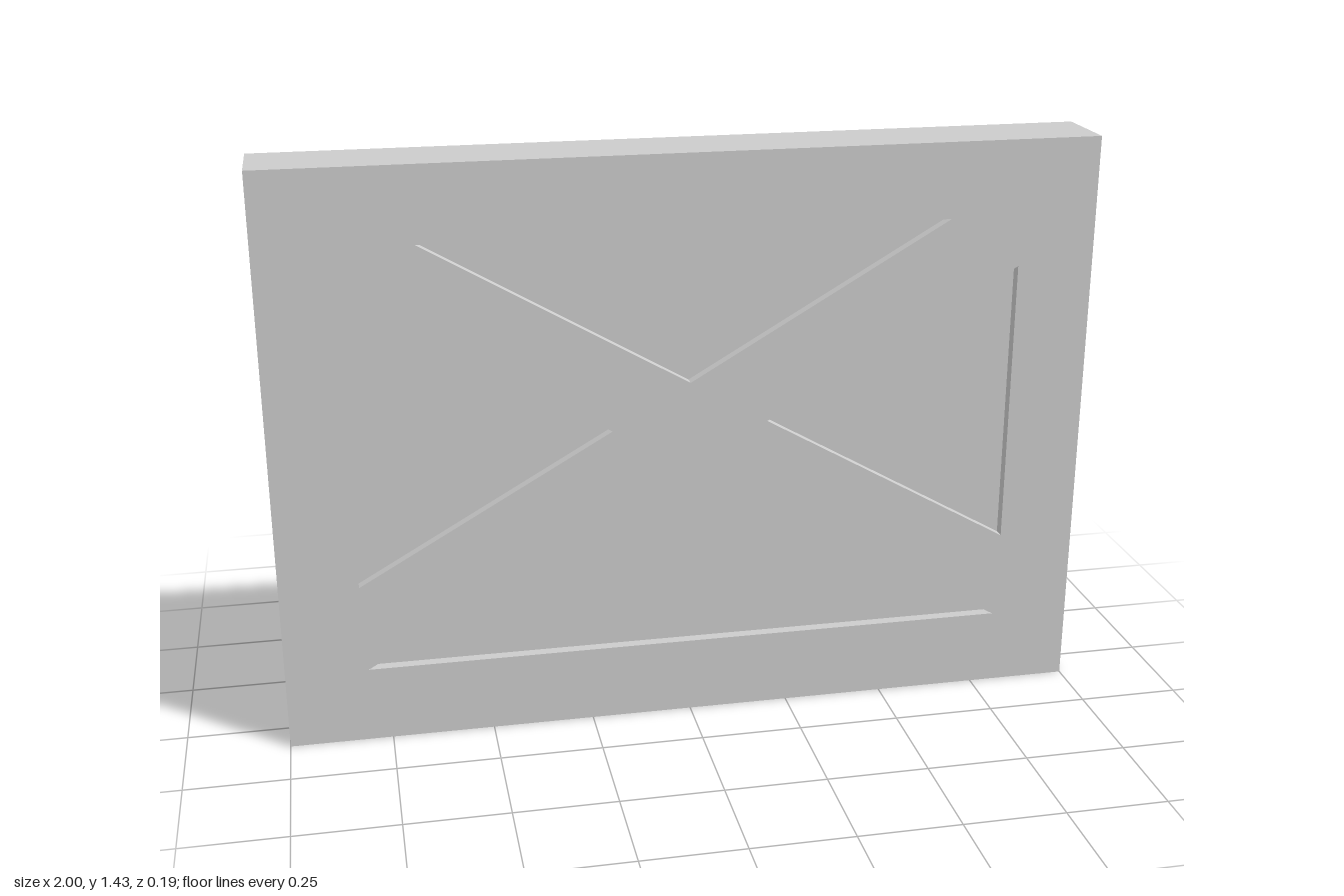
import * as THREE from 'three';

const W = 1, H = 1.43, T = 0.094, DEPTH = 0.027; // half width, height, half thickness, recess depth
const material = new THREE.MeshStandardMaterial({ color: 0xcccccc, flatShading: true });

const toPoints = (list) => list.map(([x, y]) => new THREE.Vector2(x, y));

const outline = toPoints([[-W, 0], [W, 0], [W, H], [-W, H]]);

// Triangular recesses, clockwise so that their walls face inwards
const recesses = {
  topRecess: toPoints([[-0.635, 1.245], [0.635, 1.245], [0, 0.875]]),
  bottomRecess: toPoints([[0.8, 0.19], [-0.8, 0.19], [0, 0.655]]),
  leftRecess: toPoints([[0.81, 1.12], [0.81, 0.41], [0.19, 0.765]]),
  rightRecess: toPoints([[-0.81, 0.41], [-0.81, 1.12], [-0.19, 0.765]]),
};

// Closed strip of walls along a loop, from z0 up to z1
function band(loop, z0, z1) {
  const pos = [];
  loop.forEach((a, i) => {
    const b = loop[(i + 1) % loop.length];
    pos.push(a.x, a.y, z0, b.x, b.y, z0, b.x, b.y, z1);
    pos.push(a.x, a.y, z0, b.x, b.y, z1, a.x, a.y, z1);
  });
  const geometry = new THREE.BufferGeometry();
  geometry.setAttribute('position', new THREE.Float32BufferAttribute(pos, 3));
  geometry.computeVertexNormals();
  return geometry;
}

function addMesh(parent, geometry, name) {
  const mesh = new THREE.Mesh(geometry, material);
  mesh.name = name;
  parent.add(mesh);
  return mesh;
}

// One broad side of the panel: pierced face, recess walls and recess floors
function createSide(name) {
  const side = new THREE.Group();
  side.name = name;
  const shape = new THREE.Shape(outline);
  shape.holes = Object.values(recesses).map((loop) => new THREE.Path(loop));
  addMesh(side, new THREE.ShapeGeometry(shape), 'crossFrameFace').position.z = T;

  for (const [recessName, loop] of Object.entries(recesses)) {
    const recess = new THREE.Group();
    recess.name = recessName;
    addMesh(recess, band(loop, T - DEPTH, T), 'recessWalls');
    addMesh(recess, new THREE.ShapeGeometry(new THREE.Shape(loop)), 'recessFloor').position.z = T - DEPTH;
    side.add(recess);
  }
  return side;
}

export function createModel() {
  const model = new THREE.Group();
  model.name = 'recessedPanel';

  // Outer rim
  addMesh(model, band(outline, -T, T), 'outerEdges');

  // Front and back carry the same recesses
  const back = createSide('backSide');
  back.rotation.y = Math.PI;
  model.add(createSide('frontSide'), back);
  return model;
}
